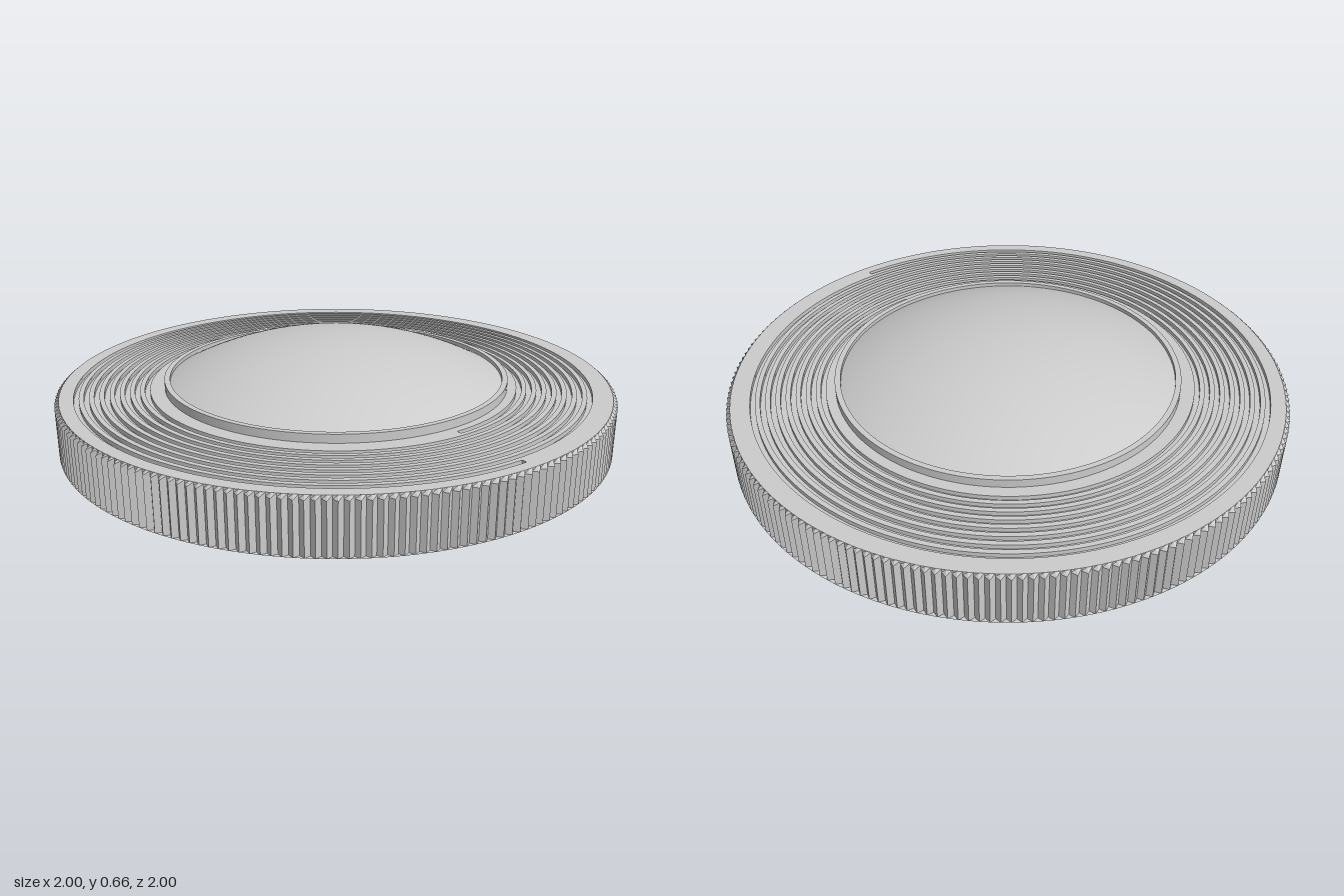
import * as THREE from 'three';
import { toCreasedNormals } from 'three/addons/utils/BufferGeometryUtils.js';

const TAU = Math.PI * 2;
const TOP = 0.5;
const material = new THREE.MeshStandardMaterial({ color: 0xcccccc });
const thinMaterial = new THREE.MeshStandardMaterial({ color: 0xcccccc, side: THREE.DoubleSide });

function addMesh(group, name, geometry, mat = material) {
  const mesh = new THREE.Mesh(geometry, mat);
  mesh.name = name;
  group.add(mesh);
}

function lathe(points, segments = 128) {
  const geometry = new THREE.LatheGeometry(points.map(([r, y]) => new THREE.Vector2(r, y)), segments);
  return toCreasedNormals(geometry, 0.3);
}

// Joins a row of [radius, y] points, given for each angle, into a surface facing up
function sweep(rowAt, turns, perTurn) {
  const positions = [];
  const index = [];
  const steps = turns * perTurn;
  let n = 0;
  for (let s = 0; s <= steps; s++) {
    const angle = (s / perTurn) * TAU;
    const row = rowAt(angle);
    n = row.length;
    for (const [r, y] of row) positions.push(r * Math.cos(angle), y, -r * Math.sin(angle));
    if (s === steps) break;
    for (let i = 0; i < n - 1; i++) {
      const a = s * n + i;
      const b = a + n;
      index.push(a, a + 1, b, a + 1, b + 1, b);
    }
  }
  const geometry = new THREE.BufferGeometry();
  geometry.setAttribute('position', new THREE.Float32BufferAttribute(positions, 3));
  geometry.setIndex(index);
  return toCreasedNormals(geometry, 0.3);
}

export function createModel() {
  const group = new THREE.Group();

  // Underside: blind hole, chamfered boss, flat base and cone
  addMesh(group, 'base', lathe([
    [0, 0.3], [0.097, 0.3], [0.097, 0], [0.275, 0], [0.29, 0.018], [0.29, 0.155],
    [0.62, 0.155], [1, 0.31], [0.975, 0.31],
  ]));

  // Knurled rim: alternate corners pulled inward, top edge chamfered to a plain circle
  const teeth = 200;
  const rim = new THREE.CylinderGeometry(1, 1, 1, teeth * 2, 2, true);
  const pos = rim.attributes.position;
  const perRow = teeth * 2 + 1;
  const heights = [TOP, 0.488, 0.31];
  for (let i = 0; i < pos.count; i++) {
    const row = Math.floor(i / perRow);
    const radius = row === 0 || (i % perRow) % 2 ? 0.985 : 1;
    pos.setXYZ(i, pos.getX(i) * radius, heights[row], pos.getZ(i) * radius);
  }
  addMesh(group, 'knurledRim', toCreasedNormals(rim, 0.2));

  // Spiral groove in the top face, each turn meeting the next one
  const turns = 8;
  const pitch = 0.035;
  const start = 0.657;
  const halfGroove = 0.009;
  const floor = TOP - 0.015;
  const radiusAt = (angle) => start + (pitch * angle) / TAU;
  addMesh(group, 'spiralGroove', sweep((angle) => {
    const r = radiusAt(angle);
    return [
      [r - pitch / 2, TOP], [r - halfGroove, TOP], [r - halfGroove, floor],
      [r + halfGroove, floor], [r + halfGroove, TOP], [r + pitch / 2, TOP],
    ];
  }, turns, 128));

  // Flat bands inside and outside the spiral
  addMesh(group, 'innerBand', sweep((angle) => [[0.6, TOP], [radiusAt(angle) - pitch / 2, TOP]], 1, 128));
  addMesh(group, 'outerBand', sweep((angle) => [
    [radiusAt(angle + (turns - 1) * TAU) + pitch / 2, TOP], [0.985, TOP],
  ], 1, 128));

  // Walls closing the two ends of the groove
  for (const angle of [0, turns * TAU]) {
    const wall = new THREE.PlaneGeometry(halfGroove * 2, TOP - floor);
    wall.translate(radiusAt(angle), (TOP + floor) / 2, 0);
    addMesh(group, 'grooveEnd', wall, thinMaterial);
  }

  // Raised ring around the dome
  addMesh(group, 'domeRing', lathe([[0.62, TOP], [0.62, 0.53], [0.6, 0.53], [0.6, TOP]]));

  // Shallow spherical dome
  const sphereRadius = 1.32;
  const spread = Math.asin(0.6 / sphereRadius);
  const dome = new THREE.SphereGeometry(sphereRadius, 128, 24, 0, TAU, 0, spread);
  dome.translate(0, 0.66 - sphereRadius, 0);
  addMesh(group, 'dome', dome);

  return group;
}
